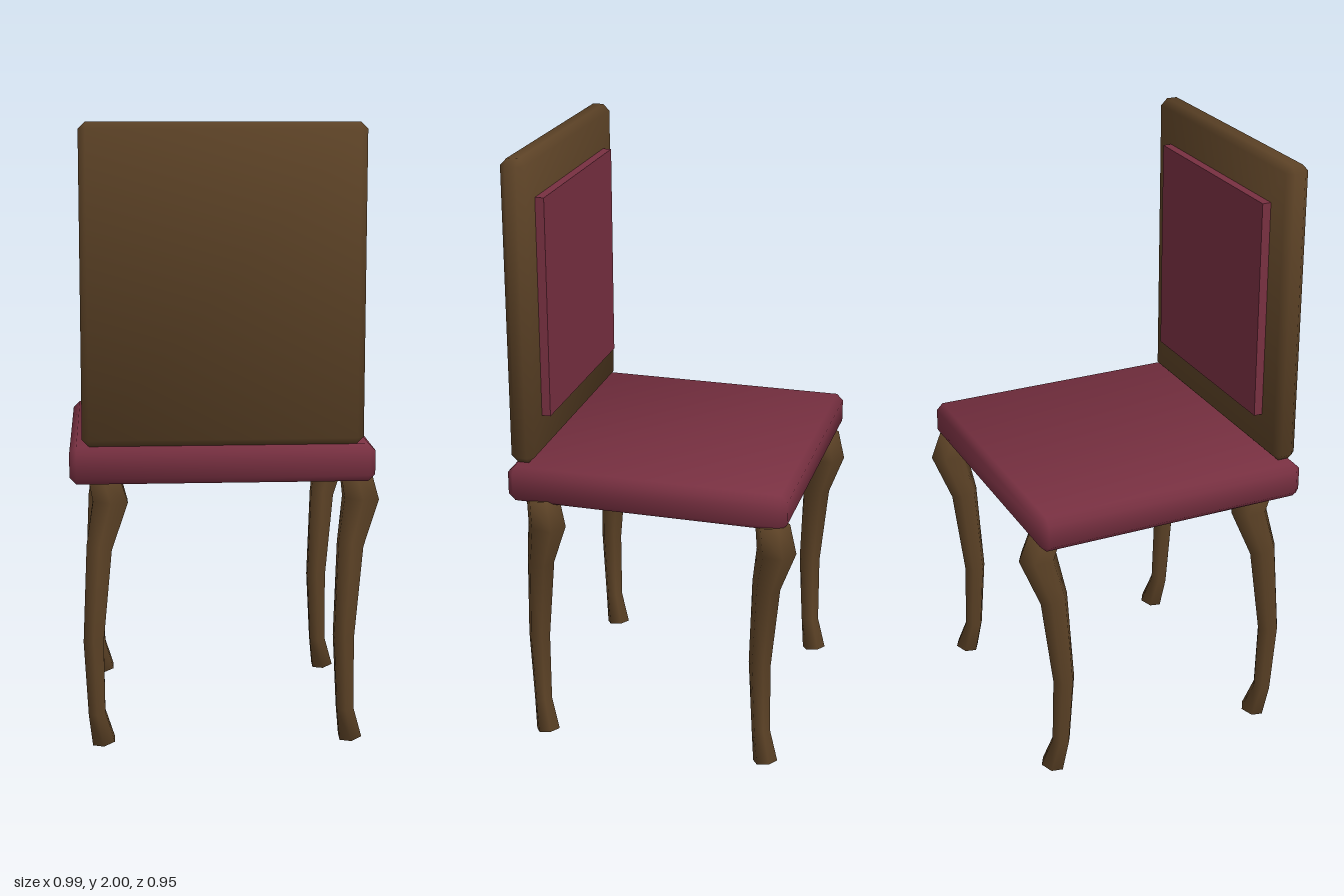
import * as THREE from 'three';
import { ConvexGeometry } from 'three/addons/geometries/ConvexGeometry.js';

const wood = new THREE.MeshStandardMaterial({ color: 0x5c4226 });
wood.name = 'darkWood';
const fabric = new THREE.MeshStandardMaterial({ color: 0x783041 });
fabric.name = 'wineFabric';

// Box with chamfered edges and softly blended normals
function chamferBox(w, h, d, c) {
  const half = [w / 2, h / 2, d / 2];
  const points = [];
  for (const sx of [-1, 1]) for (const sy of [-1, 1]) for (const sz of [-1, 1]) {
    const sign = [sx, sy, sz];
    for (let axis = 0; axis < 3; axis++) {
      points.push(new THREE.Vector3(...half.map((v, i) => sign[i] * (i === axis ? v : v - c))));
    }
  }
  const geo = new ConvexGeometry(points);
  const pos = geo.attributes.position;
  for (let i = 0; i < pos.count; i++) {
    const p = [pos.getX(i), pos.getY(i), pos.getZ(i)];
    const n = p.map((v, k) => Math.sign(v) * (Math.abs(v) > half[k] - c / 2 ? 4.4 : 1.7));
    geo.attributes.normal.setXYZ(i, ...new THREE.Vector3(...n).normalize().toArray());
  }
  return geo;
}

// Curved six-sided leg: [x, y, z, radius, tilt] per ring, top to bottom
const LEG_RINGS = [
  [-0.386, 0.885, -0.395, 0.056, 0.14],
  [-0.368, 0.805, -0.413, 0.064, -0.05],
  [-0.405, 0.66, -0.374, 0.046, -0.22],
  [-0.426, 0.36, -0.352, 0.037, -0.02],
  [-0.418, 0.118, -0.361, 0.031, 0.1],
  [-0.397, 0.012, -0.383, 0.041, 0.15],
];

function legGeometry() {
  const SIDES = 6;
  const verts = [];
  const index = [];
  for (const [x, y, z, r, tilt] of LEG_RINGS) {
    for (let j = 0; j < SIDES; j++) {
      const a = Math.PI / 6 + (j / SIDES) * Math.PI * 2;
      const ox = Math.cos(a) * r;
      const oz = Math.sin(a) * r;
      verts.push(x + ox, y + tilt * (ox - oz), z + oz);
    }
  }
  const last = LEG_RINGS.length - 1;
  const topCentre = verts.length / 3;
  verts.push(...LEG_RINGS[0].slice(0, 3), ...LEG_RINGS[last].slice(0, 3));
  for (let j = 0; j < SIDES; j++) {
    const k = (j + 1) % SIDES;
    for (let i = 0; i < last; i++) {
      const a = i * SIDES;
      const b = a + SIDES;
      index.push(a + j, a + k, b + j, a + k, b + k, b + j);
    }
    index.push(topCentre, k, j, topCentre + 1, last * SIDES + j, last * SIDES + k);
  }
  const geo = new THREE.BufferGeometry();
  geo.setAttribute('position', new THREE.Float32BufferAttribute(verts, 3));
  geo.setIndex(index);
  geo.computeVertexNormals();
  return geo;
}

export function createModel() {
  const chair = new THREE.Group();
  chair.name = 'chair';

  function add(name, geo, material, x = 0, y = 0, z = 0) {
    const mesh = new THREE.Mesh(geo, material);
    mesh.name = name;
    mesh.position.set(x, y, z);
    chair.add(mesh);
  }

  // Seat cushion, backrest board and its upholstered pad
  add('seat', chamferBox(0.963, 0.12, 0.924, 0.022), fabric, -0.0135, 0.94, 0.015);
  add('backrest', chamferBox(0.885, 1, 0.08, 0.022), wood, -0.0125, 1.5, 0.437);
  add('backrestPad', new THREE.BoxGeometry(0.685, 0.725, 0.04), fabric, -0.0125, 1.5, 0.388);

  // Four identical legs, all curving the same way
  const leg = legGeometry();
  for (const [row, z] of [['open', 0], ['backrest', 0.765]]) {
    for (const [side, x] of [['Right', 0], ['Left', 0.805]]) {
      add(`${row}${side}Leg`, leg, wood, x, 0, z);
    }
  }
  return chair;
}
